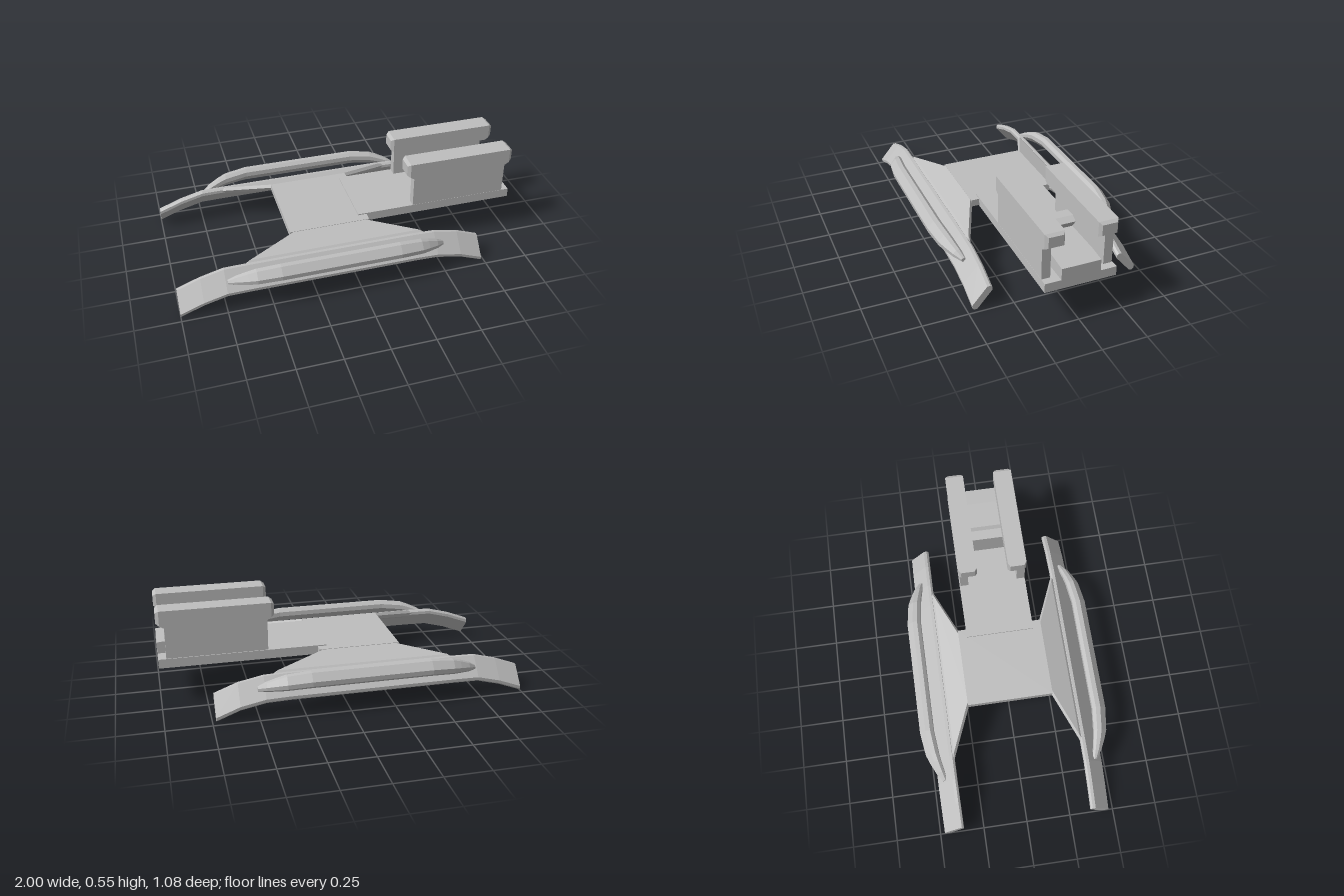
import * as THREE from 'three';

const grey = new THREE.MeshStandardMaterial({ color: 0xbebebe });
grey.name = 'plainGrey';
grey.flatShading = true;

// Skin a list of equal-length rings of [x, y, z] into a closed, flat-shaded solid.
function loft(name, rings) {
  const tris = [];
  const n = rings[0].length;
  for (let i = 0; i < rings.length - 1; i++) {
    for (let j = 0; j < n; j++) {
      const k = (j + 1) % n;
      const a = rings[i][j], b = rings[i][k], c = rings[i + 1][k], d = rings[i + 1][j];
      tris.push([a, b, c], [a, c, d]);
    }
  }
  const first = rings[0], last = rings[rings.length - 1];
  for (let j = 1; j < n - 1; j++) {
    tris.push([first[0], first[j + 1], first[j]], [last[0], last[j], last[j + 1]]);
  }
  // A negative volume means the faces point inward, so turn them round.
  let volume = 0;
  const v = (p) => new THREE.Vector3(...p);
  for (const [a, b, c] of tris) volume += v(a).dot(v(b).cross(v(c)));
  if (volume < 0) tris.forEach((t) => t.reverse());
  const geometry = new THREE.BufferGeometry();
  geometry.setAttribute('position', new THREE.Float32BufferAttribute(tris.flat(2), 3));
  geometry.computeVertexNormals();
  const mesh = new THREE.Mesh(geometry, grey);
  mesh.name = name;
  return mesh;
}

function box(name, x0, x1, y0, y1, z0, z1) {
  const mesh = new THREE.Mesh(new THREE.BoxGeometry(x1 - x0, y1 - y0, z1 - z0), grey);
  mesh.position.set((x0 + x1) / 2, (y0 + y1) / 2, (z0 + z1) / 2);
  mesh.name = name;
  return mesh;
}

// Bevelled slab section, tilted across the runner: w = half width, t = half thickness, b = bevel.
const ACROSS = [0.65, -0.76];
const OUT = [0.76, 0.65];
function tilted(x, y, z, w, t, b, side) {
  return [
    [-w, t - b], [-w + b, t], [w - b, t], [w, t - b],
    [w, -t + b], [w - b, -t], [-w + b, -t], [-w, -t + b],
  ].map(([a, o]) => [
    x,
    y + a * ACROSS[1] + o * OUT[1],
    side * (z + a * ACROSS[0] + o * OUT[0]),
  ]);
}

// Runner: a tilted band whose two ends droop to the ground.
function runner(side) {
  const path = [
    [-1, 0.072], [-0.87, 0.121], [-0.74, 0.155], [-0.6, 0.157],
    [0.33, 0.157], [0.46, 0.153], [0.6, 0.125], [0.73, 0.075],
  ];
  return loft('runner', path.map(([x, y]) => tilted(x, y, 0.417, 0.077, 0.019, 0.012, side)));
}

// Rail: a bridge standing off the runner, with ends that sink and narrow into it.
function rail(side) {
  const half = [ // distance from middle, offset, half width, half thickness
    [0.615, 0.014, 0.012, 0.012], [0.57, 0.038, 0.026, 0.022],
    [0.51, 0.064, 0.036, 0.027], [0.465, 0.08, 0.042, 0.03], [0.335, 0.1, 0.045, 0.031],
  ];
  const path = [
    ...half.map(([d, ...r]) => [-0.115 - d, ...r]),
    ...half.slice().reverse().map(([d, ...r]) => [-0.115 + d, ...r]),
  ];
  return loft('rail', path.map(([x, o, w, t]) =>
    tilted(x, 0.155 + o * OUT[1], 0.421 + o * OUT[0], w, t, t * 0.6, side)));
}

// Wing: flares outward and down from the plate to the runner, with a ridge along each edge.
function wing(side) {
  const stations = [
    [0.24, -0.34, 0.12, 0.276, 0.236],
    [0.36, -0.62, 0.41, 0.228, 0.186],
    [0.385, -0.66, 0.44, 0.205, 0.17],
  ];
  return loft('wing', stations.map(([z, x0, x1, top, low]) => {
    const mid = (top + low) / 2, zs = side * z;
    return [
      [x0, mid, zs], [x0 + 0.03, top, zs], [x1 - 0.03, top, zs],
      [x1, mid, zs], [x1 - 0.03, low, zs], [x0 + 0.03, low, zs],
    ];
  }));
}

// Long block on top of each side wall, with its ends chamfered.
function cap(side) {
  const section = (x, low, top, z0, z1) =>
    [[low, z0], [top, z0], [top, z1], [low, z1]].map(([y, z]) => [x, y, side * z]);
  return loft('wallCap', [
    section(0.36, 0.485, 0.545, 0.103, 0.183),
    section(0.378, 0.473, 0.557, 0.09, 0.197),
    section(0.4, 0.46, 0.557, 0.09, 0.197),
    section(0.96, 0.46, 0.557, 0.09, 0.197),
    section(0.982, 0.473, 0.557, 0.09, 0.197),
    section(1, 0.485, 0.545, 0.103, 0.183),
  ]);
}

// Seat between the walls, with a short overhanging backrest.
function seat() {
  const shape = new THREE.Shape([
    [0.62, 0.27], [1, 0.27], [1, 0.347], [0.9, 0.355], [0.68, 0.353],
    [0.715, 0.4], [0.68, 0.42], [0.62, 0.42],
  ].map(([x, y]) => new THREE.Vector2(x, y)));
  const geometry = new THREE.ExtrudeGeometry(shape, { depth: 0.215, bevelEnabled: false });
  geometry.translate(0, 0, -0.1075);
  const mesh = new THREE.Mesh(geometry, grey);
  mesh.name = 'seat';
  return mesh;
}

export function createModel() {
  const model = new THREE.Group();
  model.name = 'sled';

  // Middle plate and the deck behind it
  model.add(box('middlePlate', -0.34, 0.12, 0.236, 0.276, -0.245, 0.245));
  model.add(box('deck', 0.07, 1, 0.23, 0.282, -0.197, 0.197));
  model.add(seat());

  for (const side of [1, -1]) {
    const half = new THREE.Group();
    half.name = side > 0 ? 'leftHalf' : 'rightHalf';
    const z0 = side > 0 ? 0.148 : -0.192;
    half.add(
      wing(side), runner(side), rail(side), cap(side),
      box('sideWall', 0.4, 0.957, 0.27, 0.47, z0, z0 + 0.048),
    );
    model.add(half);
  }
  return model;
}
